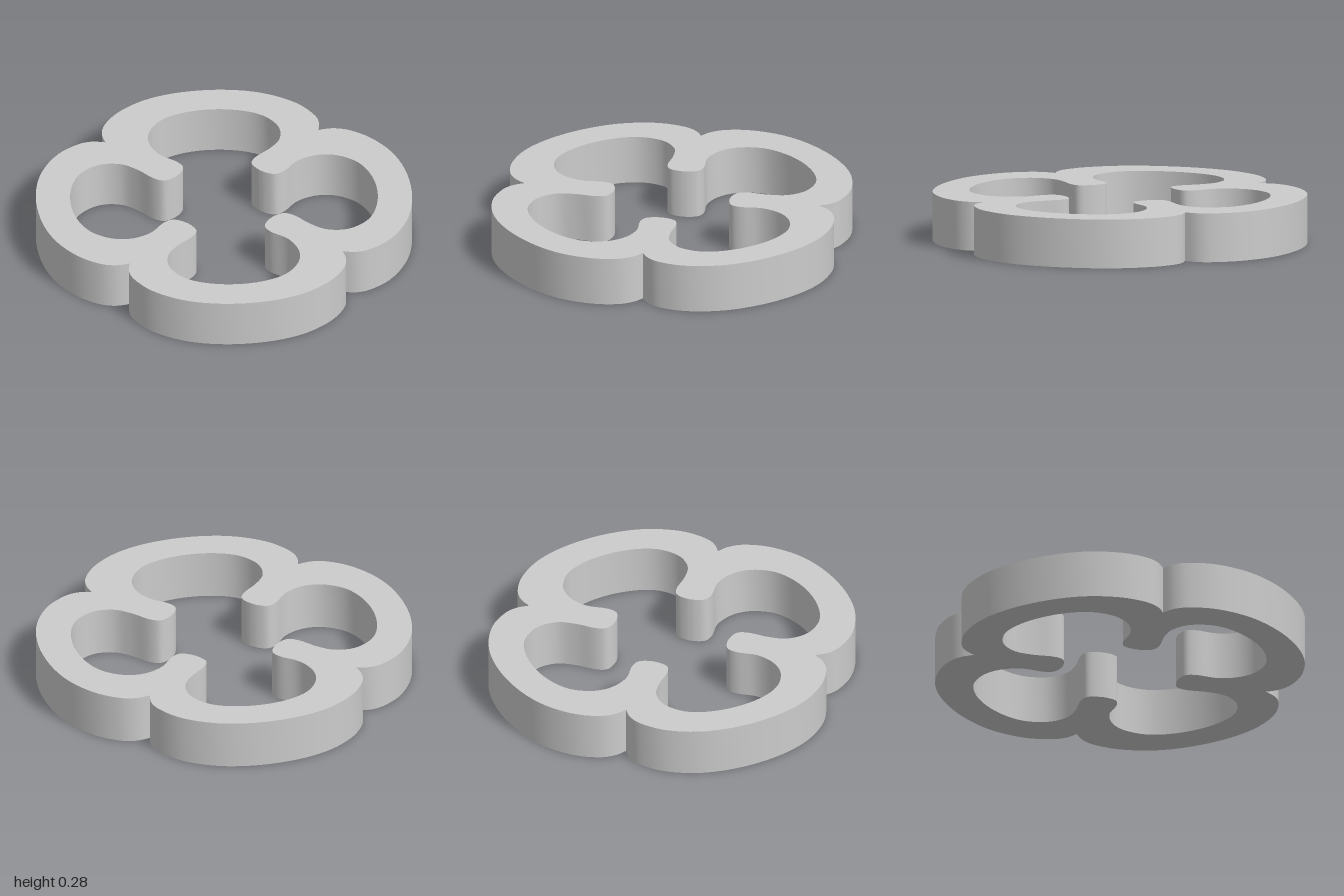
import * as THREE from 'three';
import { toCreasedNormals } from 'three/addons/utils/BufferGeometryUtils.js';

const HEIGHT = 0.28;
const WIDTH = 0.985; // the ring is slightly narrower in x than in z

// One lobe in plan, clockwise: the outer edge runs from cusp to cusp,
// the inner edge from prong tip to prong tip.
const lobeOuter = [[0, 0.865], [0.05, 0.93], [0.135, 0.977], [0.28, 0.995], [0.46, 0.96], [0.63, 0.87], [0.79, 0.73],
  [0.91, 0.57], [0.975, 0.42], [1, 0.26], [0.975, 0.12], [0.93, 0.045], [0.865, 0]];
const lobeInner = [[0.03, 0.342], [0.085, 0.365], [0.105, 0.42], [0.1, 0.55], [0.15, 0.665], [0.24, 0.735],
  [0.38, 0.755], [0.53, 0.695], [0.67, 0.57], [0.76, 0.42], [0.78, 0.31], [0.745, 0.19], [0.655, 0.115],
  [0.55, 0.1], [0.42, 0.108], [0.365, 0.088], [0.342, 0.03]];

// Repeats a lobe edge four times around the centre
function aroundCentre(points) {
  const centre = new THREE.Vector2();
  return [0, 1, 2, 3].flatMap((turn) => points.map((p) => {
    const v = p.clone().rotateAround(centre, -turn * Math.PI / 2);
    v.x *= WIDTH;
    return v;
  }));
}

const toVectors = (pairs) => pairs.map(([x, y]) => new THREE.Vector2(x, y));

export function createModel() {
  const group = new THREE.Group();
  group.name = 'quatrefoilRing';

  // Outer edge: smooth lobes that meet in sharp cusps
  const lobe = new THREE.SplineCurve(toVectors(lobeOuter)).getPoints(48).slice(0, -1);
  const shape = new THREE.Shape(aroundCentre(lobe));

  // Inner edge: one closed smooth curve around the four prongs,
  // wound against the outer edge so its walls face the opening
  const innerPoints = aroundCentre(toVectors(lobeInner)).map((p) => new THREE.Vector3(p.x, p.y, 0));
  const opening = new THREE.CatmullRomCurve3(innerPoints, true, 'centripetal')
    .getPoints(innerPoints.length * 5).slice(0, -1)
    .map((p) => new THREE.Vector2(p.x, p.y))
    .reverse();
  shape.holes.push(new THREE.Path(opening));

  // Extruded upwards and laid flat
  const geometry = new THREE.ExtrudeGeometry(shape, { depth: HEIGHT, bevelEnabled: false });
  geometry.rotateX(-Math.PI / 2);

  const ring = new THREE.Mesh(
    toCreasedNormals(geometry, Math.PI / 6),
    new THREE.MeshStandardMaterial({ color: 0xcccccc }),
  );
  ring.name = 'lobedRing';
  group.add(ring);
  return group;
}
